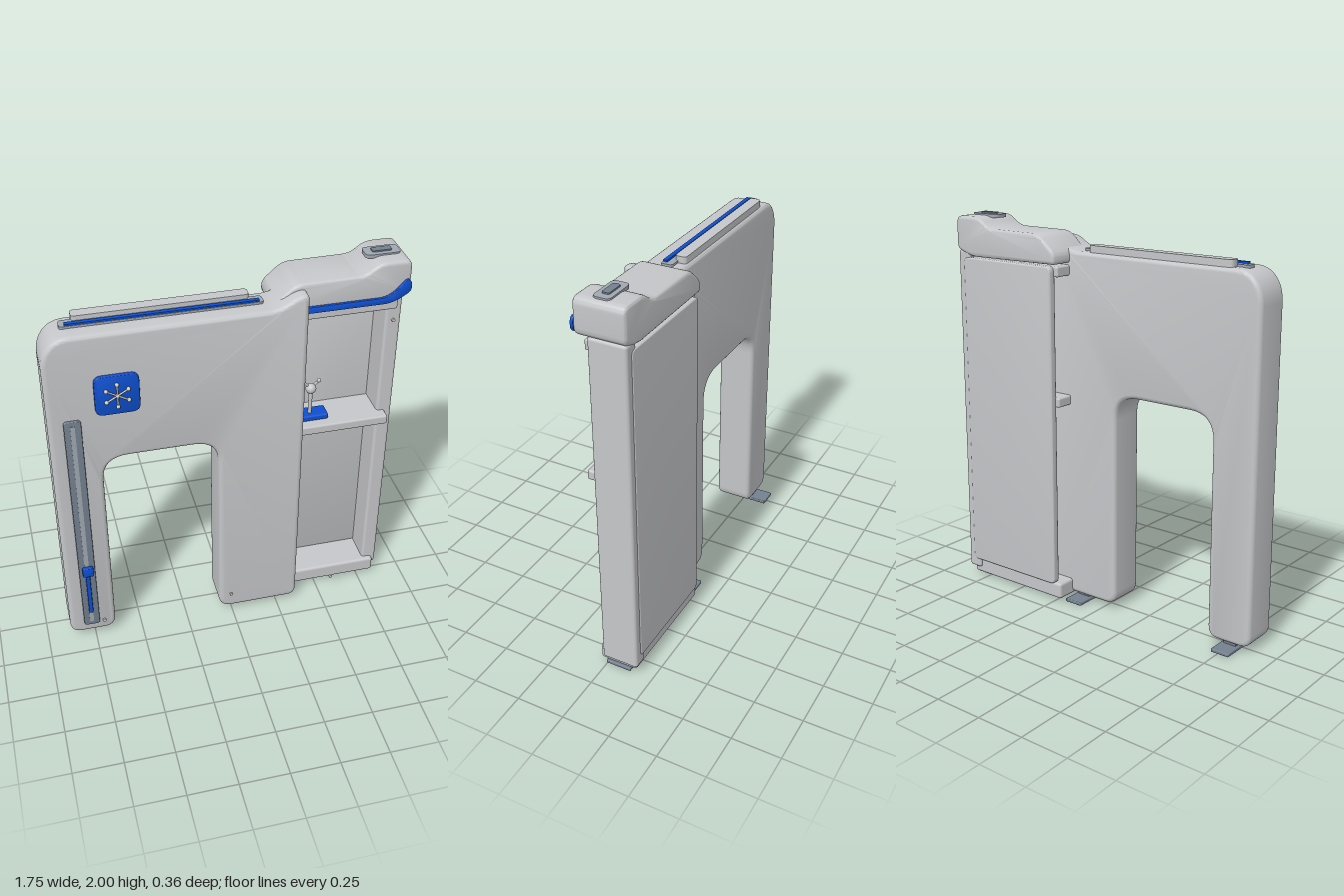
import * as THREE from 'three';
import { toCreasedNormals } from 'three/addons/utils/BufferGeometryUtils.js';
import { RoundedBoxGeometry } from 'three/addons/geometries/RoundedBoxGeometry.js';

const makeMaterial = (name, color) => {
  const m = new THREE.MeshStandardMaterial({ color });
  m.name = name;
  return m;
};

// Outline with filleted corners from [x, y, radius] points
function roundedShape(points) {
  const shape = new THREE.Shape();
  const n = points.length;
  points.forEach(([x, y, r], i) => {
    const p = new THREE.Vector2(x, y);
    const toward = (q) => {
      const d = new THREE.Vector2(q[0] - x, q[1] - y);
      return p.clone().addScaledVector(d.clone().normalize(), Math.min(r, d.length() * 0.49));
    };
    const a = toward(points[(i + n - 1) % n]);
    const b = toward(points[(i + 1) % n]);
    if (i === 0) shape.moveTo(a.x, a.y);
    else shape.lineTo(a.x, a.y);
    shape.quadraticCurveTo(x, y, b.x, b.y);
  });
  shape.closePath();
  return shape;
}

// Slab between two z values with softened edges
function slab(points, z0, z1, bevel) {
  const g = new THREE.ExtrudeGeometry(roundedShape(points), {
    depth: z1 - z0 - 2 * bevel, bevelEnabled: bevel > 0, bevelThickness: bevel,
    bevelSize: bevel, bevelOffset: -bevel, bevelSegments: 4, curveSegments: 8,
  });
  g.translate(0, 0, z0 + bevel);
  return toCreasedNormals(g, 0.6);
}

const rect = (x0, x1, y0, y1, r) => [[x0, y0, r], [x1, y0, r], [x1, y1, r], [x0, y1, r]];

export function createModel() {
  const root = new THREE.Group();
  root.name = 'cabinetUnit';
  const body = makeMaterial('bodyGrey', 0xc6c7ca);
  const slate = makeMaterial('slate', 0x748190);
  const mist = makeMaterial('paleSlate', 0xa0a8b2);
  const blue = makeMaterial('blue', 0x0d4fcf);
  const silver = makeMaterial('silver', 0xd3d1ca);

  const add = (name, geometry, material, parent = root) => {
    const mesh = new THREE.Mesh(geometry, material);
    mesh.name = name;
    parent.add(mesh);
    return mesh;
  };
  // Rounded box given by its limits
  const box = (name, mat, x0, x1, y0, y1, z0, z1, r = 0.008) => {
    const w = x1 - x0, h = y1 - y0, d = z1 - z0;
    const g = new RoundedBoxGeometry(w, h, d, 2, Math.min(r, w * 0.45, h * 0.45, d * 0.45));
    g.translate((x0 + x1) / 2, (y0 + y1) / 2, (z0 + z1) / 2);
    return add(name, g, mat);
  };
  // Flat plate lying on a horizontal surface, rounded in plan
  const topPlate = (name, mat, x0, x1, z0, z1, y0, y1, r) => {
    const g = slab(rect(x0, x1, -z1, -z0, r), y0, y1, 0);
    g.rotateX(-Math.PI / 2);
    return add(name, g, mat);
  };
  const rod = (name, a, b, r, mat, parent) => {
    const dir = new THREE.Vector3().subVectors(b, a);
    const mesh = add(name, new THREE.CylinderGeometry(r, r, dir.length(), 12), mat, parent);
    mesh.position.copy(a).addScaledVector(dir, 0.5);
    mesh.quaternion.setFromUnitVectors(new THREE.Vector3(0, 1, 0), dir.normalize());
  };
  const ball = (name, p, r, mat, parent) =>
    add(name, new THREE.SphereGeometry(r, 16, 12), mat, parent).position.copy(p);
  const V = (x, y, z) => new THREE.Vector3(x, y, z);

  // Arched front body
  add('archBody', slab([
    [-0.88, 0.03, 0.06], [-0.64, 0.03, 0.06], [-0.64, 1.155, 0.13], [-0.07, 1.155, 0.13],
    [-0.07, 0.025, 0.07], [0.36, 0.025, 0.05], [0.36, 1.905, 0.03], [0.305, 1.9, 0.03],
    [0.215, 1.845, 0.05], [-0.805, 1.845, 0.07], [-0.88, 1.755, 0.07],
  ], -0.06, 0.138, 0.022), body);

  // Top slot, lit strip and cover
  topPlate('slotBase', mist, -0.775, 0.165, -0.005, 0.055, 1.835, 1.856, 0.02);
  topPlate('slotStrip', blue, -0.75, 0.145, 0.03, 0.052, 1.85, 1.865, 0.005);
  topPlate('slotCover', body, -0.715, 0.105, -0.045, 0.012, 1.84, 1.879, 0.02);

  // Side track with slider
  add('track', slab(rect(-0.807, -0.725, 0.085, 1.405, 0.018), 0.13, 0.15, 0.004), slate);
  add('trackGroove', slab(rect(-0.778, -0.756, 0.11, 1.38, 0.008), 0.147, 0.153, 0), mist);
  box('sliderStem', blue, -0.777, -0.755, 0.185, 0.47, 0.148, 0.166, 0.005);
  add('sliderKnob', slab(rect(-0.791, -0.735, 0.447, 0.503, 0.012), 0.15, 0.174, 0.005), blue);

  // Badge with six-armed ornament
  add('badge', slab(rect(-0.655, -0.445, 1.423, 1.632, 0.04), 0.138, 0.16, 0.005), blue);
  const ornament = new THREE.Group();
  ornament.name = 'ornament';
  ornament.position.set(-0.55, 1.528, 0.167);
  root.add(ornament);
  ball('hub', V(0, 0, 0), 0.01, silver, ornament);
  for (let i = 0; i < 6; i++) {
    const a = Math.PI / 6 + i * Math.PI / 3;
    const tip = V(Math.cos(a) * 0.06, Math.sin(a) * 0.06, 0);
    rod('arm', V(0, 0, 0), tip, 0.0045, silver, ornament);
    ball('armTip', tip, 0.01, silver, ornament);
  }

  // Cabinet: post, back panel, base and shelves
  box('sidePost', body, 0.785, 0.864, 0.05, 1.81, -0.176, 0.015, 0.015);
  add('backPanel', slab(rect(0.24, 0.825, 0.1, 1.775, 0.03), -0.18, -0.14, 0.008), body);
  box('cabinetBase', body, 0.215, 0.84, 0.015, 0.1, -0.16, 0.04, 0.015);
  box('lowerShelf', body, 0.215, 0.826, 1.062, 1.112, -0.15, 0.073, 0.01);
  box('upperShelf', body, 0.215, 0.826, 1.722, 1.775, -0.15, 0.052, 0.01);

  // Stepped cap with blue front stripe
  add('cap', slab([
    [0.212, 1.785, 0.02], [0.78, 1.78, 0.05], [0.872, 1.815, 0.03], [0.872, 1.985, 0.04],
    [0.715, 1.985, 0.04], [0.645, 1.93, 0.04], [0.31, 1.928, 0.04], [0.212, 1.84, 0.03],
  ], -0.18, 0.074, 0.018), body);
  add('capStripe', slab([
    [0.35, 1.777, 0.003], [0.785, 1.777, 0.05], [0.872, 1.83, 0.02], [0.872, 1.878, 0.02],
    [0.85, 1.897, 0.015], [0.765, 1.81, 0.05], [0.35, 1.81, 0.003],
  ], 0.07, 0.086, 0.003), blue);
  topPlate('capPlate', mist, 0.67, 0.842, -0.09, -0.006, 1.975, 1.993, 0.025);
  topPlate('capButton', slate, 0.708, 0.804, -0.067, -0.03, 1.985, 2.0, 0.01);

  // Forked stand on the lower shelf
  box('standBase', blue, 0.325, 0.525, 1.112, 1.144, -0.06, 0.026, 0.01);
  const z = -0.012;
  rod('standPole', V(0.436, 1.14, z), V(0.436, 1.28, z), 0.01, body);
  ball('standHead', V(0.436, 1.288, z), 0.027, body);
  for (const s of [-1, 1]) {
    rod('prong', V(0.436, 1.29, z), V(0.436 + s * 0.038, 1.328, z), 0.006, body);
    ball('prongTip', V(0.436 + s * 0.04, 1.33, z), 0.011, body);
  }

  // Small screws
  for (const [x, y, sz] of [[-0.7, 0.093, 0.143], [-0.006, 0.117, 0.143], [0.555, 0.122, 0.145], [0.822, 1.645, 0.026]]) {
    rod('screw', V(x, y, sz - 0.006), V(x, y, sz + 0.004), 0.009, silver);
  }

  // Feet
  for (const [x, z0] of [[-0.762, -0.135], [0.15, -0.135], [0.8, -0.13]]) {
    box('foot', slate, x - 0.05, x + 0.05, 0, 0.018, z0, 0.005, 0.005);
    box('footStem', slate, x - 0.035, x + 0.035, 0.01, 0.04, -0.045, 0, 0.004);
  }
  return root;
}
